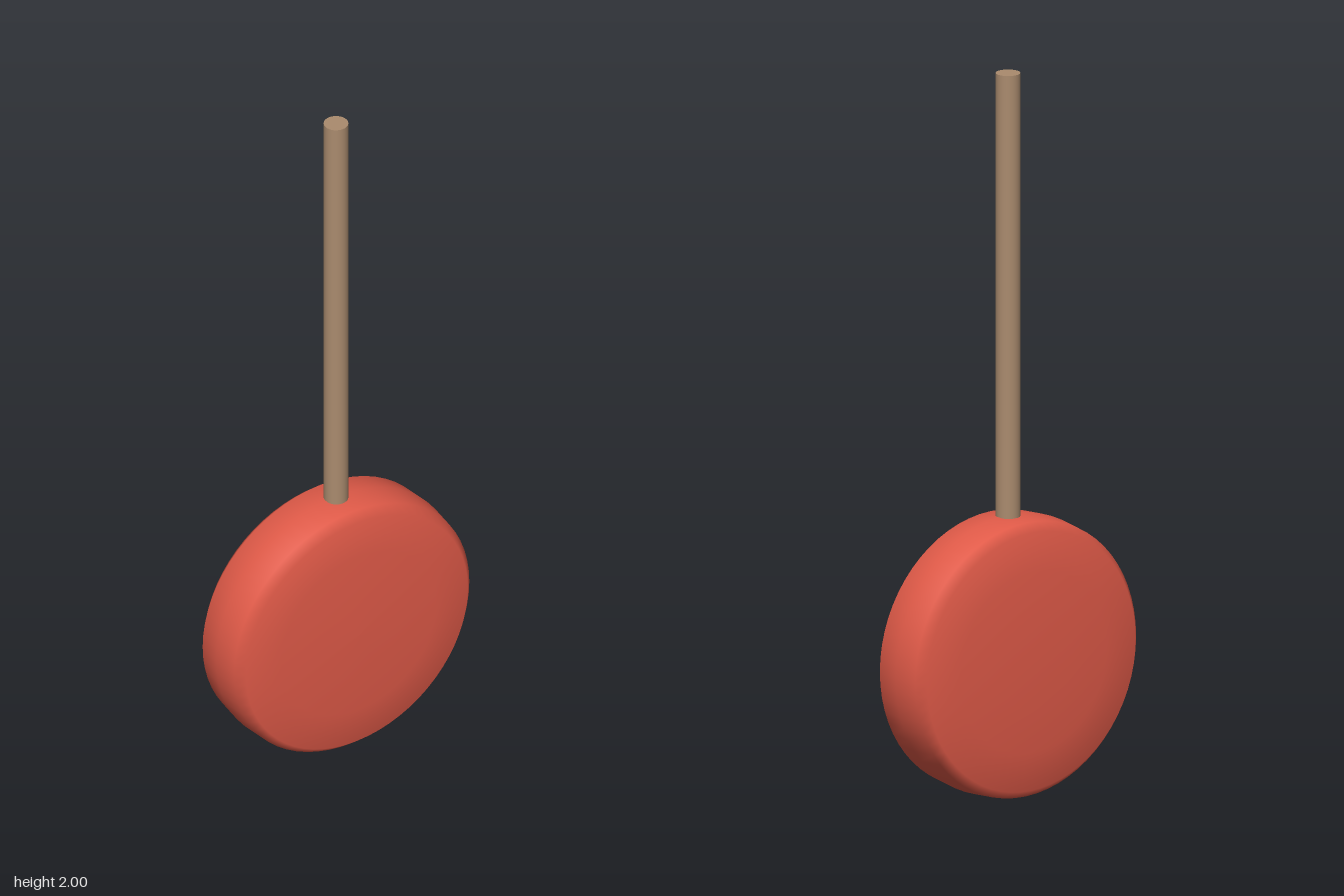
import * as THREE from 'three';

const CENTRE_Y = 0.39;

export function createModel() {
  const group = new THREE.Group();

  // Candy disc: half profile [radius, depth] from back to front, slightly domed faces
  const profile = [
    [0, -0.117], [0.13, -0.117], [0.25, -0.109], [0.357, -0.1], [0.379, -0.075],
    [0.386, 0],
    [0.379, 0.075], [0.357, 0.1], [0.25, 0.107], [0.13, 0.114], [0, 0.115],
  ].map(([r, d]) => new THREE.Vector2(r, d));
  const candy = new THREE.Mesh(
    new THREE.LatheGeometry(profile, 64).rotateX(Math.PI / 2),
    new THREE.MeshStandardMaterial({ color: 0xe05a48 })
  );
  candy.name = 'candyDisc';
  candy.position.y = CENTRE_Y;
  group.add(candy);

  // Stick: runs from inside the disc to the top
  const length = 2 - CENTRE_Y;
  const stick = new THREE.Mesh(
    new THREE.CylinderGeometry(0.033, 0.033, length, 32),
    new THREE.MeshStandardMaterial({ color: 0xaa8b6e })
  );
  stick.name = 'stick';
  stick.position.y = CENTRE_Y + length / 2;
  group.add(stick);

  return group;
}
